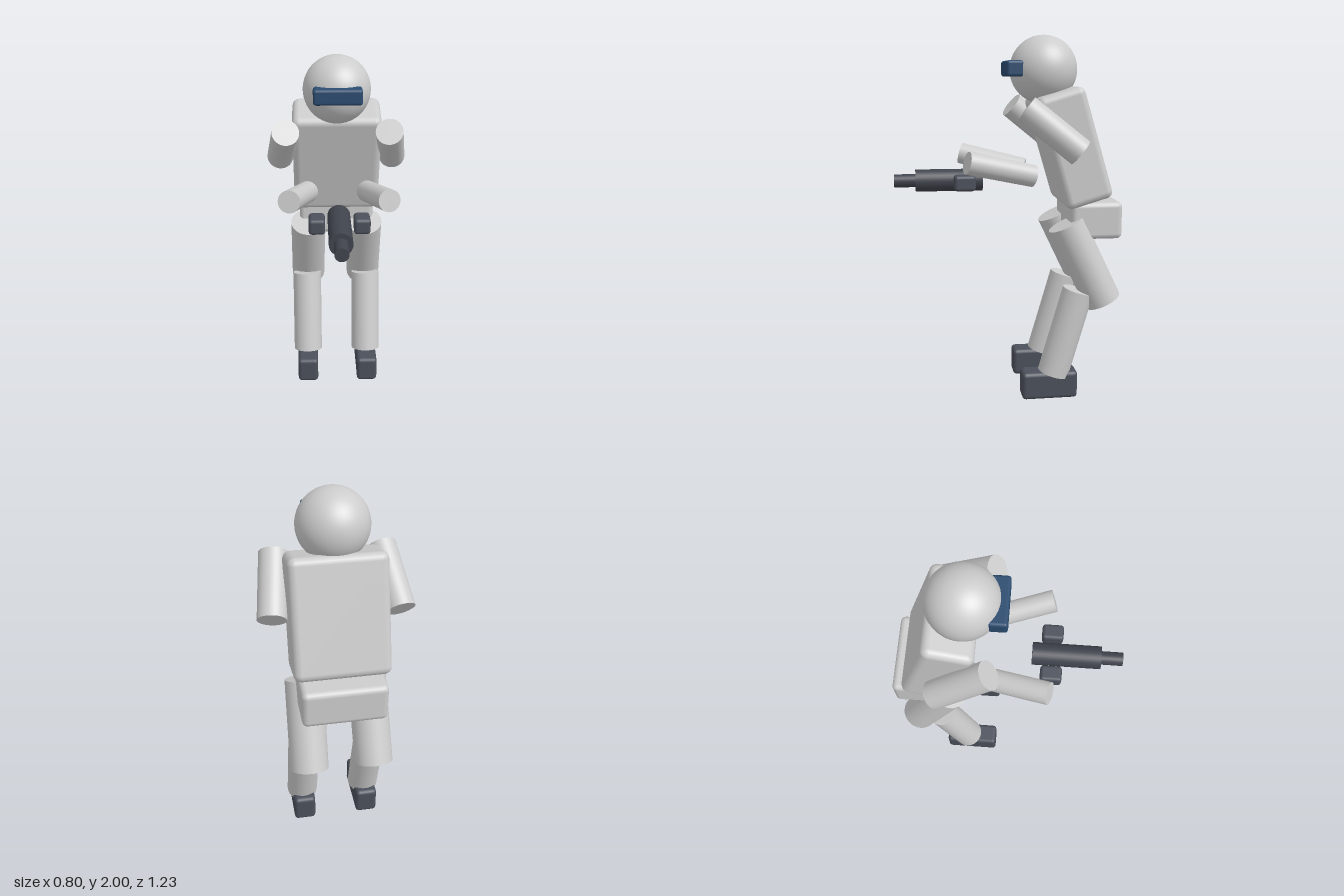
import * as THREE from 'three';
import { RoundedBoxGeometry } from 'three/addons/geometries/RoundedBoxGeometry.js';

const material = (name, color) => {
  const m = new THREE.MeshStandardMaterial({ color });
  m.name = name;
  return m;
};

export function createModel() {
  const armour = material('light grey armour', 0xcccccc);
  const glove = material('dark grey gear', 0x4b505b);
  const gunMetal = material('gun metal', 0x40444d);
  const glass = material('blue visor', 0x2b4c70);

  const model = new THREE.Group();
  model.name = 'trooper';

  const add = (name, geometry, mat, x, y, z) => {
    const mesh = new THREE.Mesh(geometry, mat);
    mesh.name = name;
    mesh.position.set(x, y, z);
    model.add(mesh);
    return mesh;
  };
  const box = (name, mat, size, pos, bevel) =>
    add(name, new RoundedBoxGeometry(...size, 2, bevel), mat, ...pos);

  // Cylinder running between two points
  const limb = (name, mat, from, to, radius) => {
    const a = new THREE.Vector3(...from);
    const b = new THREE.Vector3(...to);
    const dir = b.clone().sub(a);
    const mid = a.clone().add(b).multiplyScalar(0.5);
    const mesh = add(name, new THREE.CylinderGeometry(radius, radius, dir.length(), 32), mat, mid.x, mid.y, mid.z);
    mesh.quaternion.setFromUnitVectors(new THREE.Vector3(0, 1, 0), dir.normalize());
    return mesh;
  };

  // Head and visor
  add('head', new THREE.SphereGeometry(0.185, 40, 28), armour, 0, 1.815, -0.205);
  box('visor', glass, [0.26, 0.085, 0.095], [0, 1.82, -0.034], 0.016);

  // Torso leaning forward over the pelvis
  box('torso', armour, [0.495, 0.62, 0.265], [0, 1.4, -0.345], 0.04).rotation.x = 0.29;
  box('pelvis', armour, [0.44, 0.205, 0.285], [0, 1.005, -0.472], 0.03);

  // Arms and legs, mirrored
  for (const [side, s] of [['left', 1], ['right', -1]]) {
    limb(side + 'UpperArm', armour, [s * 0.28, 1.615, -0.067], [s * 0.325, 1.39, -0.347], 0.075);
    limb(side + 'Forearm', armour, [s * 0.167, 1.253, -0.125], [s * 0.26, 1.338, 0.236], 0.06);
    box(side + 'Hand', glove, [0.086, 0.085, 0.115], [s * 0.118, 1.215, 0.24], 0.018);
    limb(side + 'Thigh', armour, [s * 0.168, 0.988, -0.308], [s * 0.176, 0.546, -0.521], 0.103);
    limb(side + 'Shin', armour, [s * 0.183, 0.612, -0.38], [s * 0.183, 0.135, -0.243], 0.087);
    box(side + 'Foot', glove, [0.123, 0.155, 0.312], [s * 0.183, 0.0775, -0.218], 0.022);
  }

  // Gun held in front
  limb('gunBody', gunMetal, [0, 1.216, 0.135], [0, 1.216, 0.502], 0.061);
  limb('gunBarrel', gunMetal, [0, 1.216, 0.49], [0, 1.216, 0.618], 0.036);

  return model;
}
